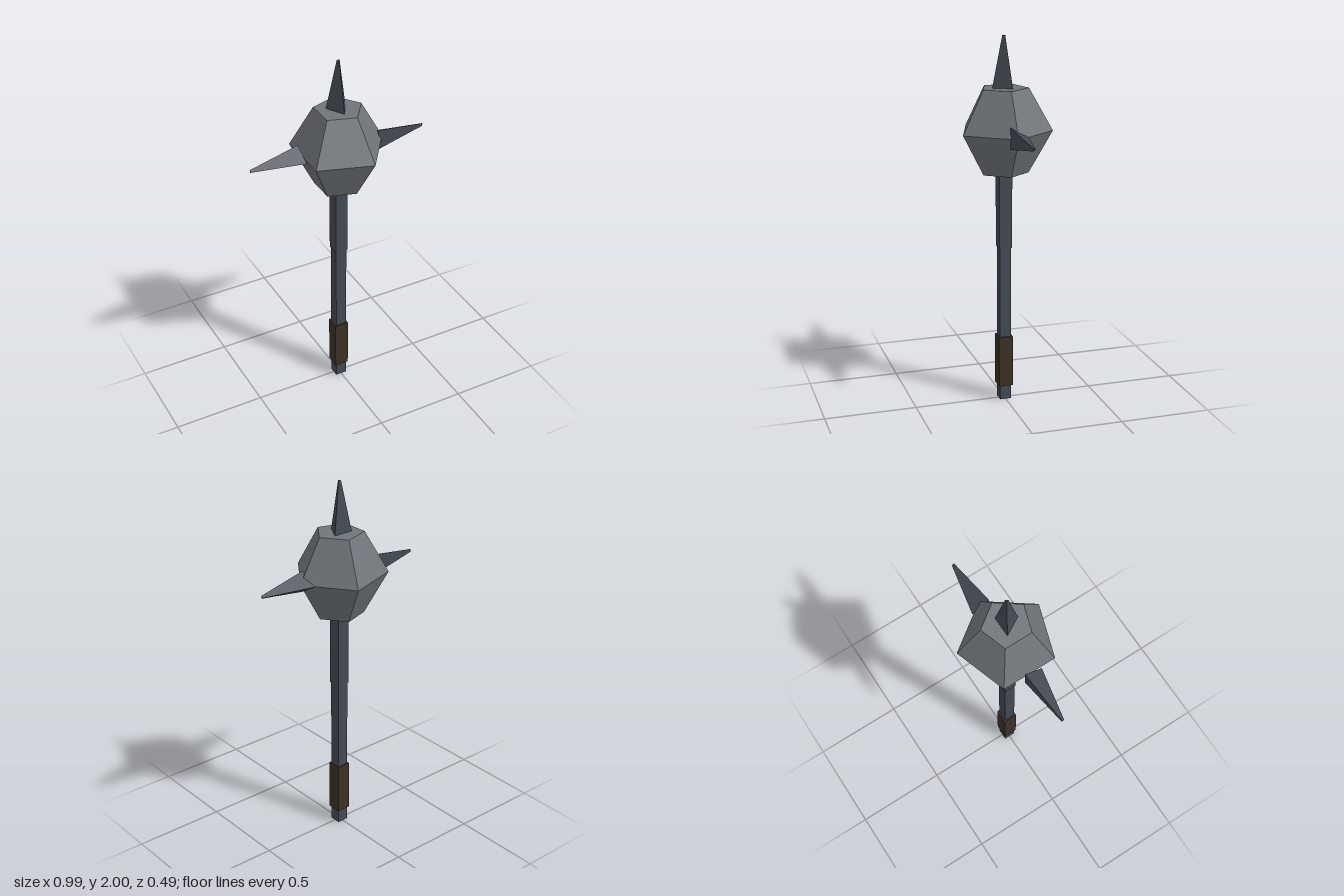
import * as THREE from 'three';

const steel = new THREE.MeshStandardMaterial({ color: 0x6f757a });
steel.name = 'paleSteel';
const iron = new THREE.MeshStandardMaterial({ color: 0x434a53 });
iron.name = 'darkIron';
const leather = new THREE.MeshStandardMaterial({ color: 0x3c3126 });
leather.name = 'brownLeather';

const HEAD_Y = 1.505;

// Faceted mesh with one normal per face
function part(name, geometry, material) {
  const g = geometry.toNonIndexed();
  g.computeVertexNormals();
  const mesh = new THREE.Mesh(g, material);
  mesh.name = name;
  return mesh;
}

// Square bar between two heights
function bar(name, half, y0, y1, material) {
  const g = new THREE.BoxGeometry(half * 2, y1 - y0, half * 2);
  g.translate(0, (y0 + y1) / 2, 0);
  return part(name, g, material);
}

export function createModel() {
  const mace = new THREE.Group();
  mace.name = 'mace';

  // Handle
  mace.add(
    bar('lowerShaft', 0.031, 0, 0.87, iron),
    bar('upperShaft', 0.035, 0.87, 1.3, iron),
    bar('grip', 0.039, 0.08, 0.365, leather)
  );

  // Five-sided head: two mirrored frustums with a corner on +x
  const half = 0.225;
  const upper = new THREE.CylinderGeometry(0.13, 0.256, half, 5, 1, false, Math.PI / 2);
  upper.translate(0, HEAD_Y + half / 2, 0);
  const lower = new THREE.CylinderGeometry(0.256, 0.13, half, 5, 1, false, Math.PI / 2);
  lower.translate(0, HEAD_Y - half / 2, 0);
  mace.add(part('upperHead', upper, steel), part('lowerHead', lower, steel));

  // Three-sided spikes pointing up, right and left
  const inner = 0.215, tip = 0.497;
  const spikes = [
    ['topSpike', 0, 0],
    ['rightSpike', 0, Math.PI / 2],
    ['leftSpike', Math.PI, Math.PI / 2],
  ];
  for (const [name, turn, tilt] of spikes) {
    const g = new THREE.CylinderGeometry(0.009, 0.066, tip - inner, 3);
    g.translate(0, (inner + tip) / 2, 0);
    const spike = part(name, g, iron);
    spike.position.y = HEAD_Y;
    spike.rotation.set(0, turn, tilt);
    mace.add(spike);
  }
  return mace;
}
